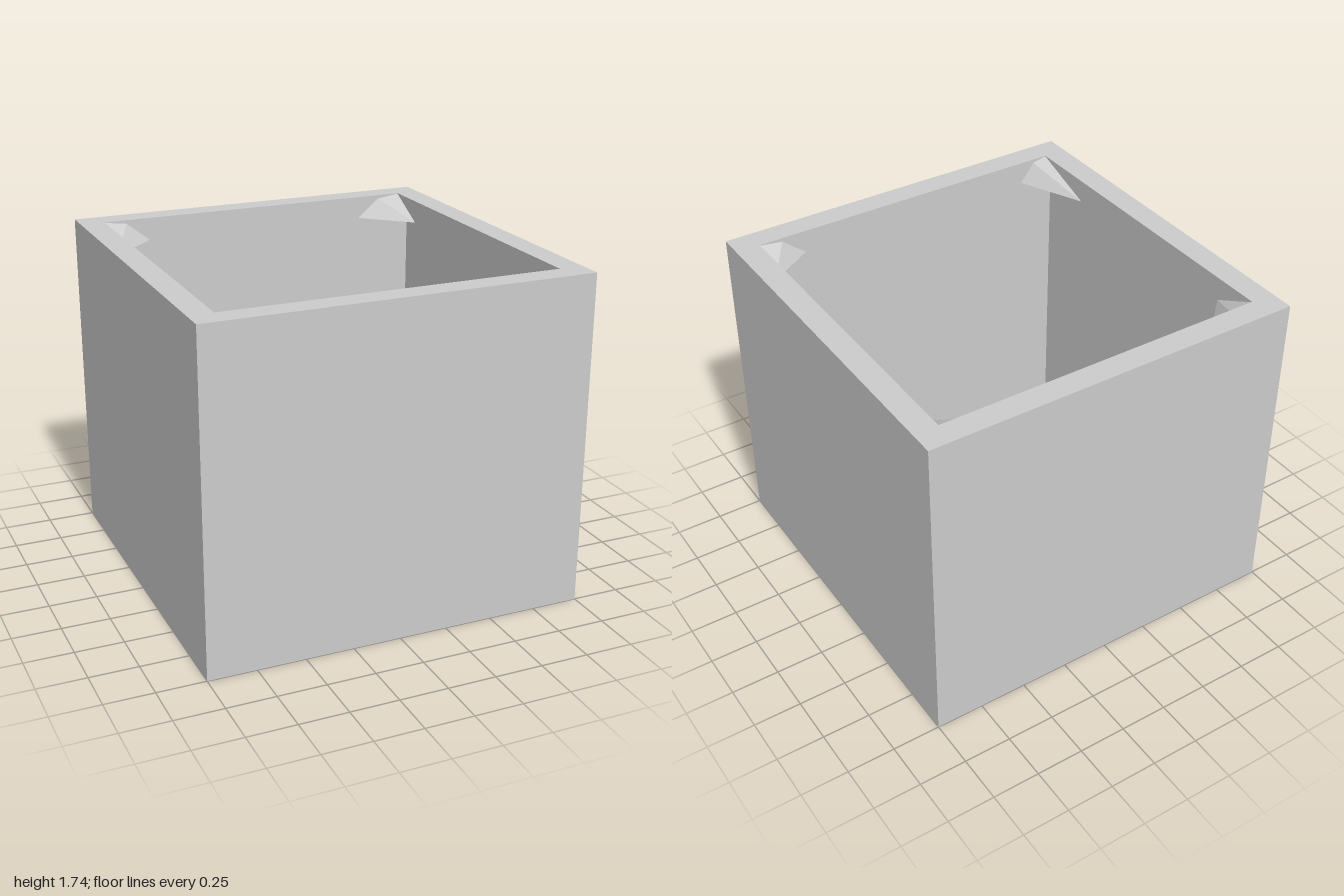
import * as THREE from 'three';
import { ConvexGeometry } from 'three/addons/geometries/ConvexGeometry.js';

const HEIGHT = 1.74, HALF = 1, INNER = 0.873, COLLAR = 0.122;

const material = new THREE.MeshStandardMaterial({
  color: 0xcccccc, flatShading: true, side: THREE.DoubleSide,
});

function addMesh(parent, name, geometry) {
  const mesh = new THREE.Mesh(geometry, material);
  mesh.name = name;
  parent.add(mesh);
  return mesh;
}

function square(half, Type) {
  return new Type([[-half, -half], [half, -half], [half, half], [-half, half]]
    .map(([x, y]) => new THREE.Vector2(x, y)));
}

export function createModel() {
  const model = new THREE.Group();
  model.name = 'openBox';

  // Thin outer walls and floor: a box without its top face
  const shell = new THREE.BoxGeometry(2 * HALF, HEIGHT, 2 * HALF);
  const index = Array.from(shell.index.array);
  index.splice(12, 6);
  shell.setIndex(index);
  shell.clearGroups();
  shell.translate(0, HEIGHT / 2, 0);
  addMesh(model, 'outerShell', shell);

  // Thick collar around the opening: flat top, underside and inner walls
  const collar = new THREE.Group();
  collar.name = 'collar';
  model.add(collar);
  const ring = square(HALF, THREE.Shape);
  ring.holes.push(square(INNER, THREE.Path));
  const rim = new THREE.ShapeGeometry(ring);
  addMesh(collar, 'rimTop', rim.clone().rotateX(-Math.PI / 2).translate(0, HEIGHT, 0));
  addMesh(collar, 'rimUnderside', rim.clone().rotateX(Math.PI / 2).translate(0, HEIGHT - COLLAR, 0));
  for (let i = 0; i < 4; i++) {
    const wall = new THREE.PlaneGeometry(2 * INNER, COLLAR);
    wall.translate(0, HEIGHT - COLLAR / 2, -INNER).rotateY(i * Math.PI / 2);
    addMesh(collar, 'collarInnerWall', wall);
  }

  // Uneven sloping gussets in the corners: side signs, reach along x and along z
  const gussets = [
    ['backRightGusset', -1, -1, 0.25, 0.24],
    ['backLeftGusset', 1, -1, 0.25, 0.23],
    ['frontRightGusset', -1, 1, 0.16, 0.35],
    ['frontLeftGusset', 1, 1, 0.25, 0.16],
  ];
  for (const [name, sx, sz, reachX, reachZ] of gussets) {
    const point = (dx, y, dz) => new THREE.Vector3(sx * (INNER - dx), y, sz * (INNER - dz));
    const low = HEIGHT - COLLAR;
    addMesh(model, name, new ConvexGeometry([
      point(0, HEIGHT - 0.003, 0),
      point(0, low, 0),
      point(reachX, low, 0),
      point(0, low, reachZ),
      point(reachX * 0.5, HEIGHT - 0.02, 0),
    ]));
  }
  return model;
}
